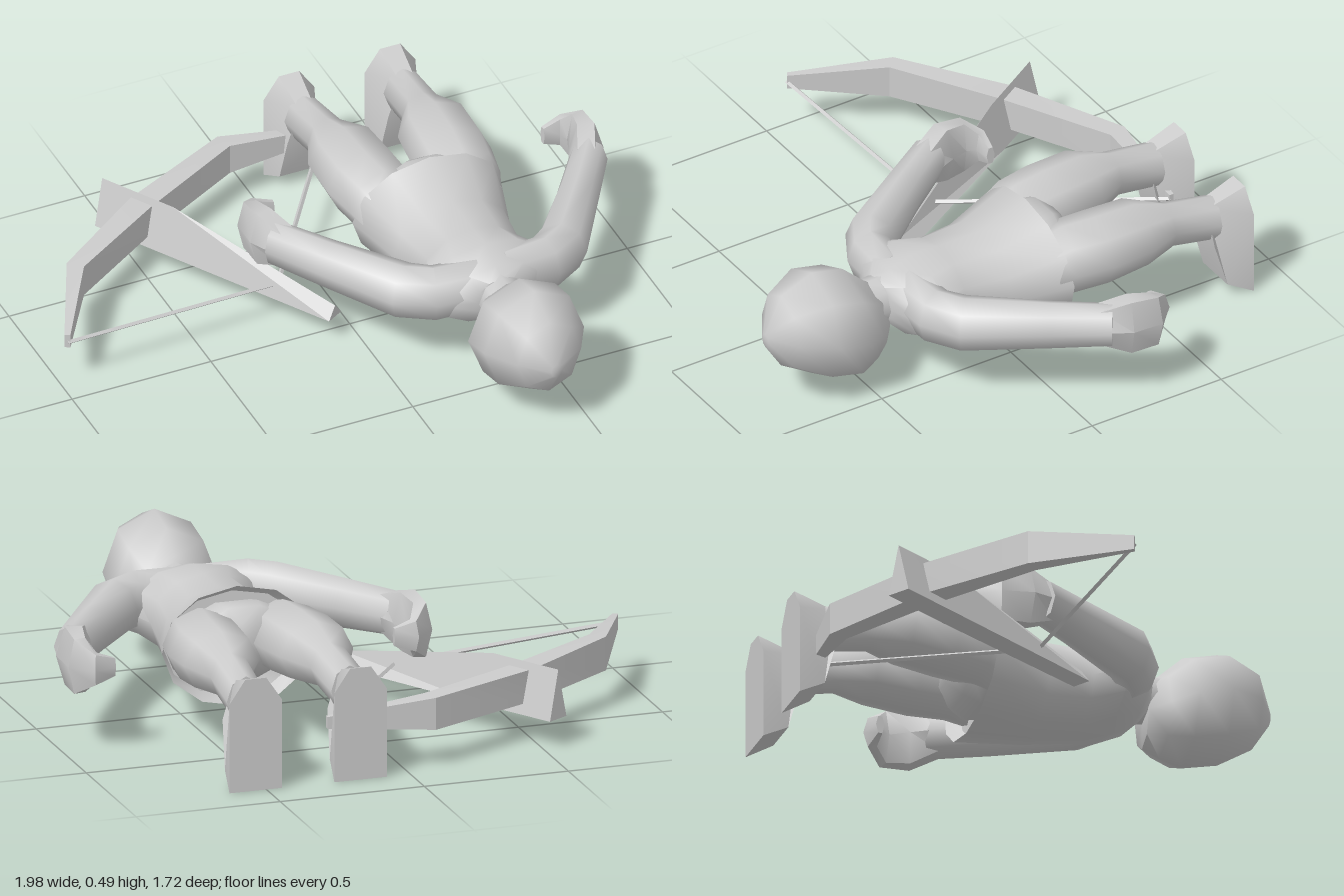
import * as THREE from 'three';
import { toCreasedNormals } from 'three/addons/utils/BufferGeometryUtils.js';

const MID = 0.355; // x of the body's centre line
const material = new THREE.MeshStandardMaterial({ color: 0xcccccc, side: THREE.DoubleSide });

function addMesh(parent, name, geometry, crease = 1.0) {
  const mesh = new THREE.Mesh(toCreasedNormals(geometry, crease), material);
  mesh.name = name;
  parent.add(mesh);
}

// Closed skin over sections [x, y, z, halfWidth, halfHeight, tilt]; each ring is
// upright and square to the path seen from above. The phase turns the ring's
// corners, and the ring grows so that its flat sides keep the given size.
function loft(sections, sides, phase = 0) {
  const points = sections.map(s => new THREE.Vector3(s[0], s[1], s[2]));
  const pos = [], index = [];
  const grow = 1 / Math.cos(phase);
  let last = null;
  sections.forEach(([x, y, z, w, h, tilt = 0], i) => {
    const a = points[Math.max(i - 1, 0)], b = points[Math.min(i + 1, points.length - 1)];
    const across = new THREE.Vector3(-(b.z - a.z), 0, b.x - a.x).normalize();
    if (last && across.dot(last) < 0) across.negate();
    last = across;
    for (let j = 0; j < sides; j++) {
      const t = phase + j / sides * Math.PI * 2;
      const u = Math.cos(t) * w * grow, v = Math.sin(t) * h * grow;
      pos.push(x + across.x * u, y + v, z + across.z * u + tilt * Math.sin(t));
    }
  });
  const rings = sections.length, start = rings * sides, end = start + 1;
  pos.push(...points[0].toArray(), ...points[rings - 1].toArray());
  for (let j = 0; j < sides; j++) {
    const k = (j + 1) % sides, top = (rings - 1) * sides;
    for (let i = 0; i < rings - 1; i++) {
      const p = i * sides, q = p + sides;
      index.push(p + j, p + k, q + j, p + k, q + k, q + j);
    }
    index.push(start, k, j, end, top + j, top + k);
  }
  // Turn the faces outward whichever way the path runs
  const at = i => new THREE.Vector3().fromArray(pos, i * 3);
  let volume = 0;
  for (let i = 0; i < index.length; i += 3)
    volume += at(index[i]).dot(at(index[i + 1]).cross(at(index[i + 2])));
  if (volume < 0) index.reverse();
  const g = new THREE.BufferGeometry();
  g.setAttribute('position', new THREE.Float32BufferAttribute(pos, 3));
  g.setIndex(index);
  return g;
}

// Sections along the body: [z, bottom, top, halfWidth, tilt]
const along = rows => rows.map(([z, lo, hi, w, tilt]) => [MID, (lo + hi) / 2, z, w, (hi - lo) / 2, tilt]);
// Limb sections: [distance from centre line, y, z, halfWidth, halfHeight]
const limb = (side, rows) => rows.map(([d, ...rest]) => [MID + side * d, ...rest]);

function footGeometry(x) {
  const outline = [[-0.72, 0.345], [-0.862, 0.39], [-0.862, 0.31], [-0.862, 0.005], [-0.77, 0.055], [-0.725, 0.215]];
  const shape = new THREE.Shape(outline.map(p => new THREE.Vector2(...p)));
  const g = new THREE.ExtrudeGeometry(shape, { depth: 2, bevelEnabled: false });
  g.translate(0, 0, -1).rotateY(-Math.PI / 2);
  // Widen from the ankle to the sole, and narrow to a ridge at the heel
  const p = g.attributes.position;
  for (let i = 0; i < p.count; i++) {
    const t = (-0.72 - p.getZ(i)) / 0.142;
    const ridge = p.getY(i) > 0.32 ? 0.4 : 1;
    p.setX(i, x + p.getX(i) * (0.067 + 0.024 * t) * ridge);
  }
  return g;
}

export function createModel() {
  const model = new THREE.Group();
  model.name = 'proneFigureWithCrossbow';

  const body = new THREE.Group();
  body.name = 'body';
  model.add(body);

  addMesh(body, 'head', loft(along([
    [0.86, 0.26, 0.31, 0.02], [0.8, 0.165, 0.44, 0.115], [0.68, 0.09, 0.49, 0.18],
    [0.56, 0.062, 0.46, 0.183], [0.48, 0.085, 0.385, 0.13], [0.42, 0.11, 0.34, 0.07],
  ]), 8), 1.1);
  addMesh(body, 'neck', loft(along([[0.49, 0.2, 0.37, 0.08], [0.36, 0.2, 0.38, 0.085]]), 8));

  // Tunic flares to a hem, with a hollow under it
  addMesh(body, 'tunic', loft(along([
    [0.425, 0.22, 0.37, 0.09], [0.38, 0.18, 0.39, 0.2], [0.29, 0.14, 0.42, 0.24],
    [0.19, 0.115, 0.415, 0.185], [0.03, 0.09, 0.415, 0.21], [-0.17, 0.075, 0.475, 0.268, 0.02],
    [-0.12, 0.1, 0.445, 0.245, 0.02],
  ]), 12));
  addMesh(body, 'hips', loft(along([
    [-0.08, 0.16, 0.41, 0.19], [-0.16, 0.15, 0.43, 0.22], [-0.22, 0.18, 0.43, 0.18], [-0.27, 0.23, 0.39, 0.08],
  ]), 10));

  for (const [side, label] of [[1, 'left'], [-1, 'right']]) {
    addMesh(body, label + 'Arm', loft(limb(side, [
      [0.05, 0.305, 0.335, 0.075, 0.095], [0.2, 0.305, 0.325, 0.08, 0.1], [0.285, 0.305, 0.27, 0.088, 0.097],
      [0.45, 0.31, 0.04, 0.07, 0.086], [0.565, 0.315, -0.13, 0.063, 0.078],
    ]), 8));
    // Cupped hand with the fingers curled inward
    addMesh(body, label + 'Hand', loft(limb(side, [
      [0.54, 0.315, -0.095, 0.058, 0.075], [0.58, 0.308, -0.185, 0.058, 0.115], [0.59, 0.3, -0.275, 0.042, 0.108],
      [0.55, 0.3, -0.325, 0.03, 0.06], [0.485, 0.3, -0.32, 0.015, 0.035],
    ]), 6), 0.7);
    addMesh(body, label + 'Leg', loft(limb(side, [
      [0.135, 0.29, -0.14, 0.115, 0.12], [0.142, 0.31, -0.2, 0.13, 0.12], [0.157, 0.315, -0.32, 0.138, 0.118],
      [0.165, 0.325, -0.47, 0.13, 0.108], [0.172, 0.315, -0.585, 0.07, 0.08], [0.18, 0.285, -0.76, 0.066, 0.082],
    ]), 8));
    addMesh(body, label + 'Foot', footGeometry(MID + side * 0.182), 0.6);
  }

  const crossbow = new THREE.Group();
  crossbow.name = 'crossbow';
  model.add(crossbow);

  // Three-sided stock: flat underneath, ridge on top
  addMesh(crossbow, 'stock', loft([
    [-0.555, 0.157, -0.74, 0.042, 0.098], [-0.41, 0.157, -0.5, 0.042, 0.098], [-0.08, 0.115, 0.06, 0.034, 0.026],
  ], 3, -Math.PI / 6), 0.3);
  addMesh(crossbow, 'bow', loft([
    [-0.985, 0.19, -0.07, 0.01, 0.025], [-0.82, 0.19, -0.37, 0.03, 0.058], [-0.485, 0.19, -0.595, 0.042, 0.055],
    [-0.095, 0.19, -0.79, 0.033, 0.055], [0.26, 0.185, -0.775, 0.008, 0.02],
  ], 4, Math.PI / 4), 0.3);

  // String drawn back to the nock
  const nock = new THREE.Vector3(-0.2, 0.145, -0.13);
  for (const [x, z] of [[-0.985, -0.07], [0.255, -0.775]]) {
    const path = new THREE.LineCurve3(new THREE.Vector3(x, 0.185, z), nock);
    addMesh(crossbow, 'string', new THREE.TubeGeometry(path, 1, 0.008, 4));
  }
  return model;
}
